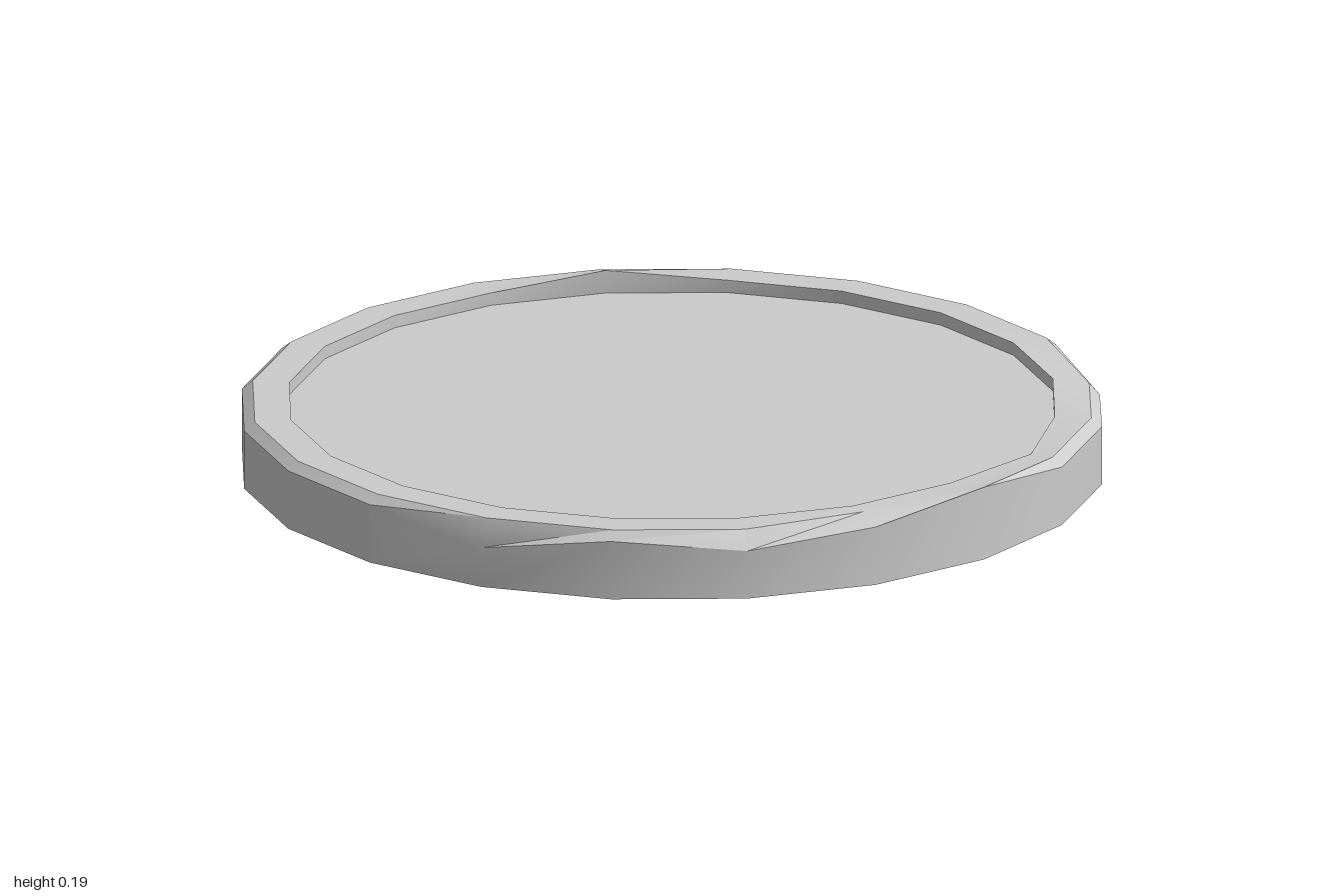
import * as THREE from 'three';
import { toCreasedNormals } from 'three/addons/utils/BufferGeometryUtils.js';

const SIDES = 20;
const PLATE_RADIUS = 0.89;
const PLATE_Y = 0.13;

// Rim cross-section [radius, height], from the open foot over the lip to the plate
const PROFILE = [[1, 0], [1, 0.14], [0.975, 0.16], [PLATE_RADIUS, 0.16], [PLATE_RADIUS, PLATE_Y]];

// Chips and bumps: 'profile row, side' -> [radius, height]; side 0 faces +z, counting toward +x
const DENTS = {
  '1,0': [1, 0.14], '2,0': [0.94, 0.16],
  '1,1': [1, 0.175], '2,1': [0.975, 0.165],
  '1,4': [1, 0.115], '2,4': [0.975, 0.145],
  '1,9': [1, 0.12],
  '1,17': [1, 0.095],
  '1,19': [1, 0.115],
  '3,2': [0.92, 0.16],
  '3,9': [0.89, 0.185],
};

function rimGeometry() {
  const positions = [];
  const index = [];
  PROFILE.forEach((point, row) => {
    for (let k = 0; k < SIDES; k++) {
      const [r, y] = DENTS[`${row},${k}`] ?? point;
      const a = (k / SIDES) * Math.PI * 2;
      positions.push(r * Math.sin(a), y, r * Math.cos(a));
    }
  });
  for (let row = 0; row < PROFILE.length - 1; row++) {
    for (let k = 0; k < SIDES; k++) {
      const next = (k + 1) % SIDES;
      const a = row * SIDES + k, b = row * SIDES + next;
      const c = b + SIDES, d = a + SIDES;
      index.push(a, b, c, a, c, d);
    }
  }
  const geometry = new THREE.BufferGeometry();
  geometry.setAttribute('position', new THREE.Float32BufferAttribute(positions, 3));
  geometry.setIndex(index);
  return toCreasedNormals(geometry, 0.5);
}

export function createModel() {
  const group = new THREE.Group();
  group.name = 'chippedRoundTray';
  const material = new THREE.MeshStandardMaterial({ color: 0xcccccc, side: THREE.DoubleSide });

  // Worn outer wall, bevel and raised lip
  const rim = new THREE.Mesh(rimGeometry(), material);
  rim.name = 'rim';

  // Slightly sunken top surface; the underside is hollow
  const plate = new THREE.Mesh(new THREE.CircleGeometry(PLATE_RADIUS, SIDES).rotateX(-Math.PI / 2), material);
  plate.name = 'plate';
  plate.position.y = PLATE_Y;

  group.add(rim, plate);
  return group;
}
